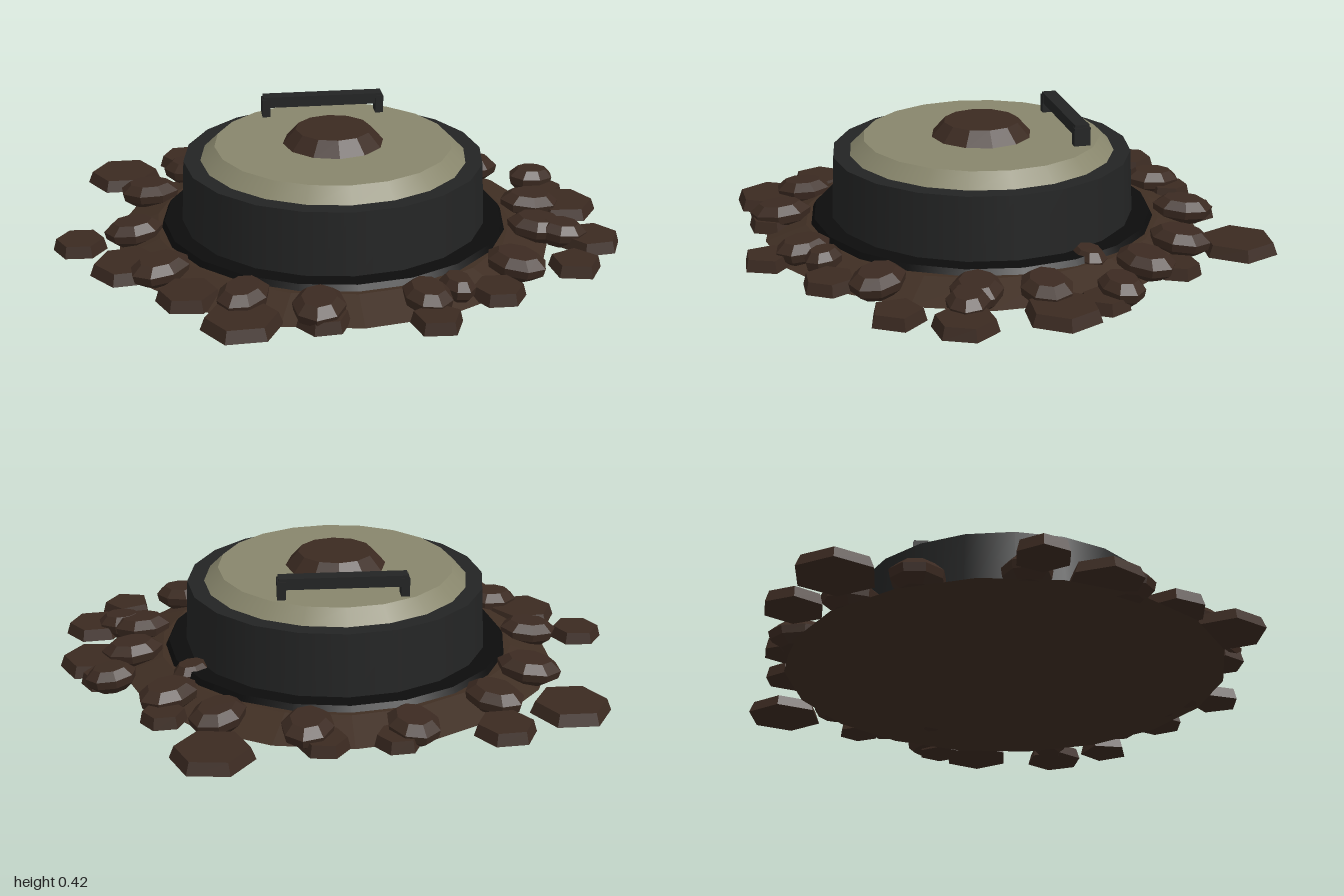
import * as THREE from 'three';

const paint = (name, color, flatShading = false) => {
  const m = new THREE.MeshStandardMaterial({ color, flatShading });
  m.name = name;
  return m;
};

export function createModel() {
  const model = new THREE.Group();
  model.name = 'buriedDisc';
  const earth = paint('earth brown', 0x3f2e23, true);
  const stone = paint('stone brown', 0x3b2a21, true);
  const casing = paint('charcoal', 0x232424);
  const gasket = paint('black', 0x0c0c0c);
  const cream = paint('olive cream', 0x88866c);

  const add = (name, geometry, material, x, y, z, parent = model) => {
    const mesh = new THREE.Mesh(geometry, material);
    mesh.name = name;
    mesh.position.set(x, y, z);
    parent.add(mesh);
    return mesh;
  };
  // Round tapered layer between two heights
  const CZ = 0.025;
  const layer = (name, rTop, rBottom, y0, y1, sides, material) =>
    add(name, new THREE.CylinderGeometry(rTop, rBottom, y1 - y0, sides), material, 0, (y0 + y1) / 2, CZ);

  layer('dirtMound', 0.64, 0.785, 0.01, 0.06, 18, earth);
  layer('baseRing', 0.61, 0.637, 0.03, 0.08, 20, gasket);
  layer('casing', 0.535, 0.547, 0.05, 0.305, 20, casing);
  layer('pressurePlate', 0.424, 0.48, 0.3, 0.355, 20, cream);
  layer('centerCap', 0.135, 0.185, 0.35, 0.406, 12, stone);

  // Carrying handle: bar on two feet
  const handle = new THREE.Group();
  handle.name = 'handle';
  model.add(handle);
  add('handleBar', new THREE.BoxGeometry(0.444, 0.04, 0.052), casing, 0, 0.41, -0.286, handle);
  for (const s of [-1, 1])
    add('handleFoot', new THREE.BoxGeometry(0.03, 0.07, 0.058), casing, s * 0.212, 0.385, -0.286, handle);

  // Flat outer stones: x, z, radius, sides
  const slabs = [
    [-0.75, -0.55, 0.14, 6], [-0.5, -0.695, 0.107, 6], [0.46, -0.79, 0.14, 6], [0.62, -0.51, 0.08, 6],
    [0.83, -0.19, 0.085, 6], [0.87, -0.04, 0.13, 6], [0.89, 0.28, 0.11, 6], [0.78, 0.475, 0.095, 5],
    [0.23, 0.825, 0.09, 5], [-0.39, 0.75, 0.135, 6], [-0.55, 0.545, 0.11, 6], [-0.745, 0.295, 0.13, 6],
    [-0.91, 0.085, 0.095, 6], [0.47, 0.645, 0.095, 6], [-0.14, -0.745, 0.08, 6], [0.1, -0.75, 0.085, 6],
    [-0.13, 0.77, 0.09, 6],
  ];
  slabs.forEach(([x, z, r, sides], i) => {
    const slab = add('flatStone', new THREE.CylinderGeometry(r * 0.88, r, 0.042, sides), stone, x, 0.034, z);
    slab.rotation.y = Math.PI / 6 + 0.12 * Math.sin(i * 2.4);
  });

  // Rounded inner stones: x, z, radius; the long axis points outwards
  const pebble = new THREE.CylinderGeometry(1, 1, 1, 8, 3);
  const profile = { '-0.5': 0.6, '-0.17': 0.95, '0.17': 1, '0.5': 0.66 };
  const p = pebble.attributes.position;
  for (let i = 0; i < p.count; i++) {
    const k = profile[String(+p.getY(i).toFixed(2))];
    p.setXYZ(i, p.getX(i) * k, p.getY(i), p.getZ(i) * k);
  }
  pebble.computeVertexNormals();
  const pebbles = [
    [-0.495, -0.51, 0.11], [-0.655, -0.295, 0.115], [-0.72, 0.05, 0.105], [-0.635, 0.375, 0.11],
    [-0.375, 0.63, 0.105], [-0.14, 0.74, 0.11], [0.22, 0.7, 0.1], [0.33, 0.645, 0.07],
    [0.565, 0.5, 0.11], [0.715, 0.205, 0.11], [0.79, 0.25, 0.09], [0.74, -0.02, 0.11],
    [0.805, -0.25, 0.09], [0.605, -0.4, 0.11], [0.525, -0.225, 0.07], [0.44, -0.58, 0.11],
    [0.15, -0.695, 0.11], [-0.195, -0.695, 0.11],
  ];
  pebbles.forEach(([x, z, r], i) => {
    const stoneMesh = add('roundedStone', pebble, stone, x, 0.057 + 0.004 * Math.sin(i * 1.7), z);
    stoneMesh.scale.set(r * 0.8, 0.085, r);
    stoneMesh.rotation.order = 'YXZ';
    stoneMesh.rotation.set(0.08, Math.atan2(x, z), 0);
  });
  return model;
}
